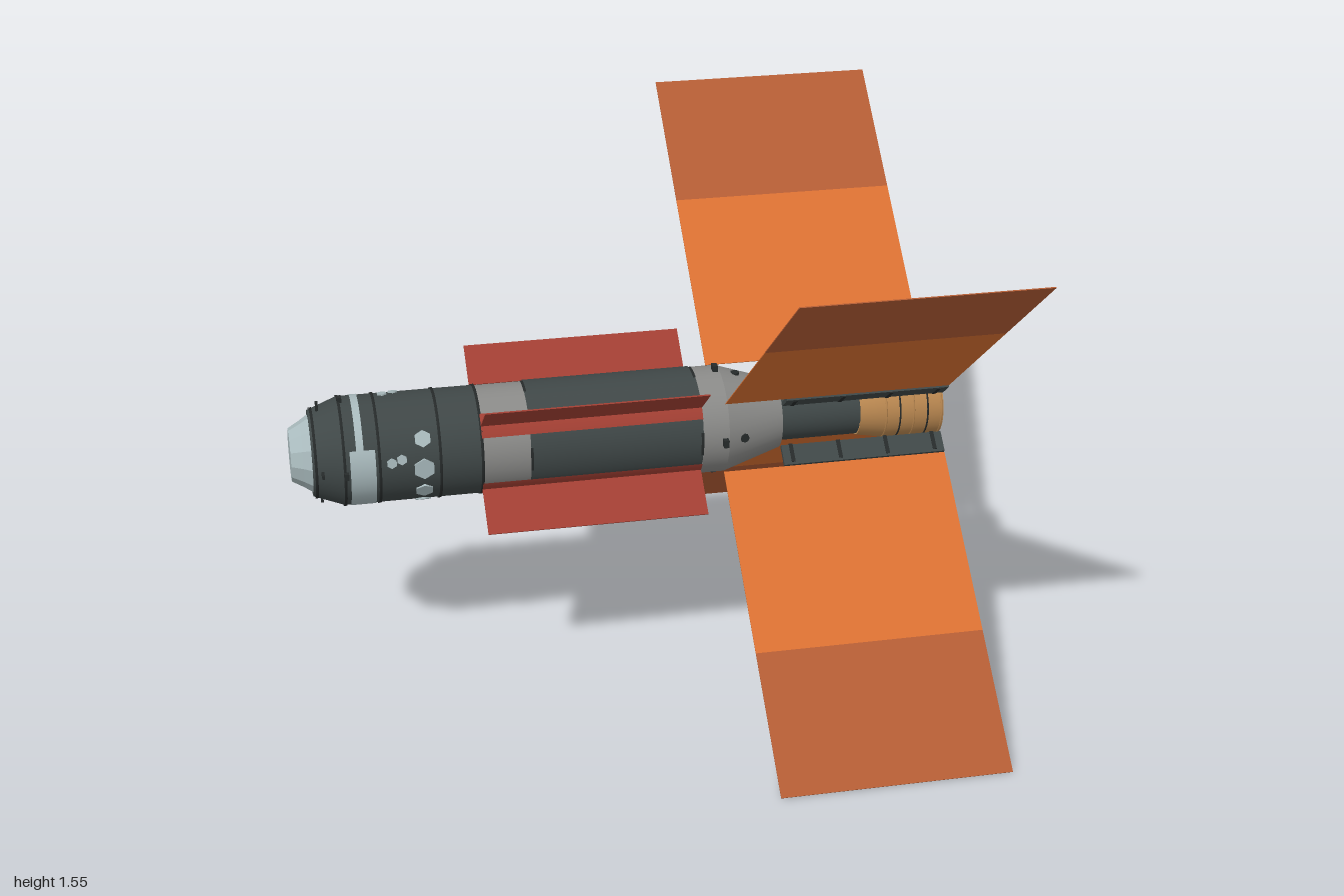
import * as THREE from 'three';

const mat = (name, color, side = THREE.FrontSide) => {
  const m = new THREE.MeshStandardMaterial({ color, side });
  m.name = name;
  return m;
};
const rad = THREE.MathUtils.degToRad;

export function createModel() {
  const hull = mat('dark hull', 0x3f4747, THREE.DoubleSide);
  const trim = mat('near black trim', 0x262a2a);
  const grey = mat('grey skin', 0x8a8a88, THREE.DoubleSide);
  const pale = mat('pale blue', 0xa9babd, THREE.DoubleSide);
  const gold = mat('gold', 0xb98750, THREE.DoubleSide);
  const red = mat('radiator red', 0xa23f33, THREE.DoubleSide);
  const orange = mat('panel orange', 0xda7032);
  const rust = mat('panel rust', 0xb45d34);

  const root = new THREE.Group();
  root.name = 'spacecraft';
  const craft = new THREE.Group();
  craft.name = 'craft';
  craft.position.y = 0.775;
  root.add(craft);

  const add = (parent, name, geometry, material, x = 0, y = 0, z = 0) => {
    const m = new THREE.Mesh(geometry, material);
    m.name = name;
    m.position.set(x, y, z);
    parent.add(m);
    return m;
  };
  // Surface turned about the long x axis; points are [x, radius]
  const turned = (name, pts, material, sides = 32) => {
    const g = new THREE.LatheGeometry(pts.map(([x, r]) => new THREE.Vector2(r, x)), sides);
    g.rotateZ(-Math.PI / 2);
    return add(craft, name, g, material);
  };
  // Curved skin patch; angles in degrees from +z towards +y
  const patch = (name, x0, x1, r, a0, a1, material) => {
    const g = new THREE.CylinderGeometry(r, r, x1 - x0, 12, 1, true, rad(-a1), rad(a1 - a0));
    g.rotateZ(-Math.PI / 2);
    return add(craft, name, g, material, (x0 + x1) / 2);
  };
  // Group whose local +z points outwards at the given angle
  const spoke = (name, angle) => {
    const g = new THREE.Group();
    g.name = name;
    g.rotation.x = -rad(angle);
    craft.add(g);
    return g;
  };

  // Nose and forward hull
  const nose = turned('nose', [[-1, 0], [-1, 0.08], [-0.965, 0.1], [-0.935, 0.12]], pale, 12);
  nose.geometry = nose.geometry.toNonIndexed();
  nose.geometry.computeVertexNormals();
  turned('noseCollar', [[-0.94, 0.115], [-0.94, 0.13]], hull);
  turned('forwardCone', [[-0.94, 0.13], [-0.85, 0.164]], hull);
  turned('forwardHull', [[-0.85, 0.164], [-0.44, 0.164]], hull);
  turned('lightBand', [[-0.44, 0.163], [-0.295, 0.163]], grey);
  turned('mainHull', [[-0.295, 0.163], [0.23, 0.163]], hull);
  turned('rearSkirt', [[0.23, 0.164], [0.31, 0.164]], grey);
  turned('rearCone', [[0.31, 0.164], [0.49, 0.106]], grey);
  turned('coneCap', [[0.49, 0.106], [0.49, 0.08]], grey);
  turned('neck', [[0.49, 0.085], [0.74, 0.085]], hull);

  // Seam rings
  for (const [x, r] of [[-0.93, 0.134], [-0.848, 0.164], [-0.745, 0.164], [-0.565, 0.164], [-0.44, 0.164]]) {
    turned('seamRing', [[x - 0.004, r], [x - 0.004, r + 0.003], [x + 0.004, r + 0.003], [x + 0.004, r]], trim);
  }

  // Pale stripe and markings on the forward hull
  turned('paleStripe', [[-0.812, 0.166], [-0.79, 0.166]], pale);
  patch('palePatch', -0.832, -0.757, 0.1665, -85, 25, pale);
  for (const [x, a, r] of [[-0.615, 0, 0.033], [-0.615, 32, 0.026], [-0.615, -30, 0.028], [-0.71, 9, 0.016],
    [-0.68, 12, 0.016], [-0.715, 101, 0.016], [-0.682, 106, 0.016], [-0.615, -60, 0.026], [-0.68, -100, 0.018]]) {
    const s = spoke('marking', a);
    const disc = add(s, 'hexMarking', new THREE.CylinderGeometry(r, r, 0.007, 6), pale, x, 0, 0.164);
    disc.rotation.x = Math.PI / 2;
  }

  // Open rear nozzle with hoops and a recessed bulkhead
  turned('rearTube', [[0.74, 0.088], [0.82, 0.102], [1, 0.106]], gold);
  turned('bulkhead', [[0.78, 0], [0.78, 0.094]], hull);
  for (let i = 0; i < 5; i++) {
    const r = 0.101 + i * 0.001;
    const hoop = add(craft, 'tubeHoop', new THREE.TorusGeometry(r, 0.003, 6, 32), i % 2 ? trim : gold, 0.82 + i * 0.0435);
    hoop.rotation.y = Math.PI / 2;
  }
  turned('innerLip', [[0.9, 0.077], [0.9, 0.103]], gold);

  // Four diagonal sets of radiators and solar panels
  for (const a of [40, 140, 220, 320]) {
    const s = spoke('diagonalArm', a);
    add(s, 'radiatorFin', new THREE.BoxGeometry(0.67, 0.004, 0.152), red, -0.105, 0, 0.236);
    patch('radiatorBase', -0.44, 0.23, 0.167, a - 13, a + 13, red);
    add(s, 'panelRoot', new THREE.BoxGeometry(0.51, 0.013, 0.066), hull, 0.745, 0, 0.145);
    for (let i = 0; i < 4; i++) {
      add(s, 'rootBracket', new THREE.BoxGeometry(0.012, 0.017, 0.06), trim, 0.52 + i * 0.15, 0, 0.14);
    }
    add(s, 'innerPanel', new THREE.BoxGeometry(0.7, 0.003, 0.583), orange, 0.65, 0, 0.4715);
    add(s, 'outerPanel', new THREE.BoxGeometry(0.7, 0.003, 0.44), rust, 0.65, 0, 0.983);
  }

  // Thrusters and hatches facing the four main directions
  for (const a of [0, 90, 180, 270]) {
    const s = spoke('sideFittings', a);
    add(s, 'rearThruster', new THREE.BoxGeometry(0.016, 0.024, 0.03), trim, 0.297, 0, 0.167);
    add(s, 'forwardThruster', new THREE.BoxGeometry(0.014, 0.02, 0.03), trim, -0.845, 0, 0.164);
    add(s, 'noseAntenna', new THREE.BoxGeometry(0.008, 0.012, 0.04), trim, -0.912, 0, 0.148);
    patch('hullCover', -0.29, 0.225, 0.1665, a - 24, a + 24, hull);
    for (const x of [-0.293, 0.226]) patch('coverEdge', x - 0.004, x + 0.004, 0.168, a - 13, a + 13, trim);
    const hatch = add(s, 'coneHatch', new THREE.CylinderGeometry(0.014, 0.014, 0.008, 8), trim, 0.36, 0, 0.148);
    hatch.rotation.x = Math.PI / 2;
  }
  return root;
}
